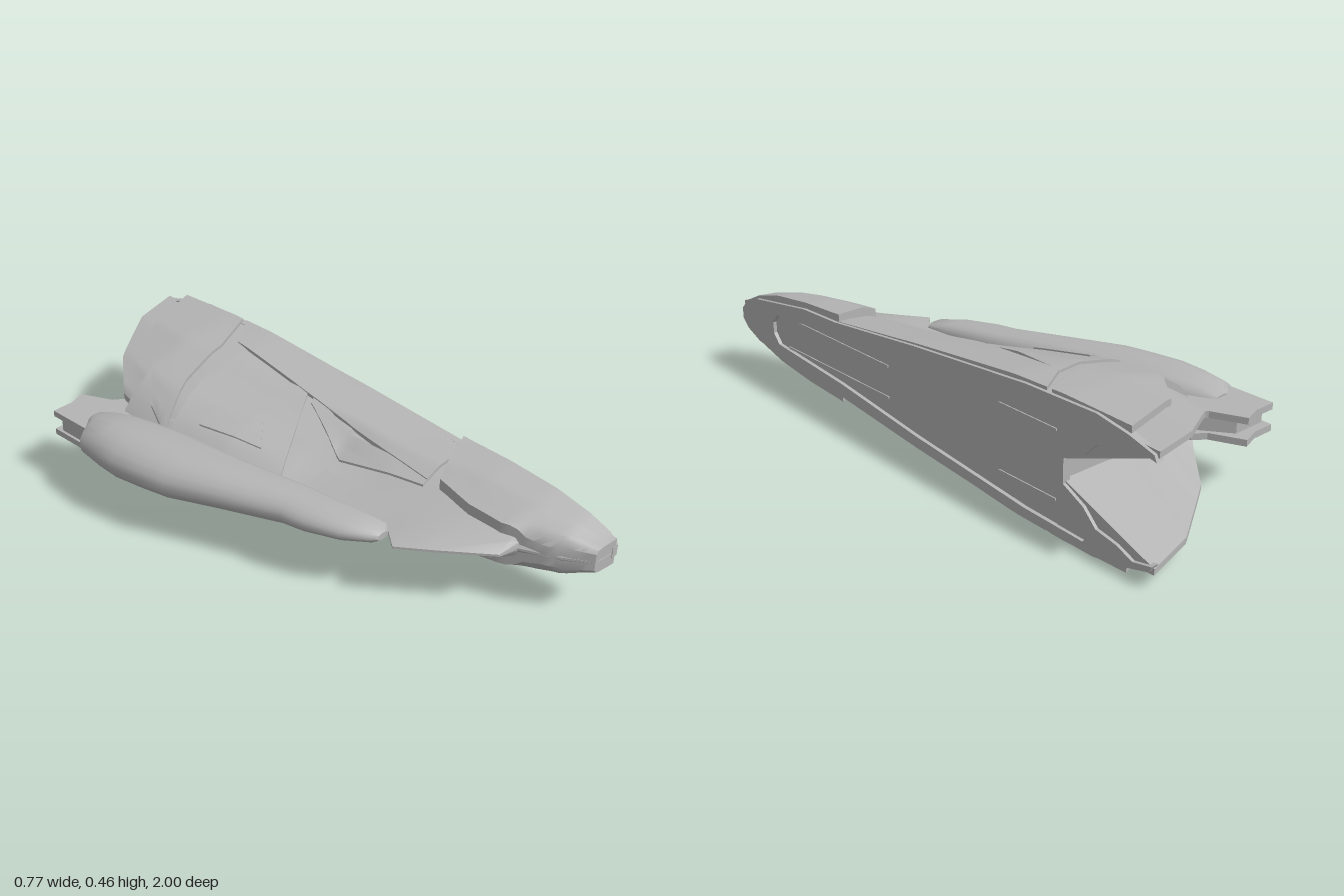
import * as THREE from 'three';
import { toCreasedNormals, mergeVertices } from 'three/addons/utils/BufferGeometryUtils.js';

const MID = 0.23; // height of the horizontal mirror plane
const FLAT = 0.374; // x where the armour plates stop, just short of the sliced side
const hull = new THREE.MeshStandardMaterial({ color: 0xb4b4b4, side: THREE.DoubleSide });
hull.name = 'hullGrey';

// Hull cross-sections: z, ridge height, three x,height pairs outwards, edge x
const STATIONS = [
  [-1, 0.22, 0.2, 0.208, 0.08, 0.18, -0.04, 0.14, -0.1],
  [-0.65, 0.229, 0.13, 0.216, -0.04, 0.165, -0.11, 0.12, -0.18],
  [-0.45, 0.224, 0.15, 0.208, -0.06, 0.148, -0.14, 0.1, -0.2],
  [-0.2, 0.2, 0.2, 0.185, 0.02, 0.125, -0.08, 0.085, -0.15],
  [0.02, 0.178, 0.22, 0.158, 0.1, 0.1, -0.01, 0.06, -0.09],
  [0.1, 0.168, 0.22, 0.148, 0.14, 0.09, 0.06, 0.05, -0.07],
  [0.3, 0.145, 0.23, 0.125, 0.14, 0.085, 0.06, 0.045, -0.03],
  [0.43, 0.13, 0.24, 0.115, 0.16, 0.08, 0.07, 0.042, -0.02],
  [0.5, 0.126, 0.25, 0.112, 0.16, 0.075, 0.06, 0.04, -0.08],
  [0.6, 0.12, 0.26, 0.108, 0.18, 0.07, 0.11, 0.045, -0.01],
  [0.76, 0.1, 0.28, 0.09, 0.2, 0.06, 0.16, 0.04, 0.11],
  [0.78, 0.097, 0.28, 0.087, 0.21, 0.055, 0.19, 0.035, 0.175],
  [0.9, 0.065, 0.31, 0.06, 0.25, 0.045, 0.235, 0.03, 0.225],
  [0.99, 0.02, 0.34, 0.02, 0.3, 0.018, 0.285, 0.012, 0.28],
].map(([z, ridge, ...rest]) => [z, FLAT, ridge, ...rest, rest[5] * 0.3]);

// Height of the skin above the mirror plane at (x, z)
function skin(x, z) {
  let i = 0;
  while (i < STATIONS.length - 2 && STATIONS[i + 1][0] < z) i++;
  const a = STATIONS[i], b = STATIONS[i + 1];
  const t = THREE.MathUtils.clamp((z - a[0]) / (b[0] - a[0]), 0, 1);
  const s = a.map((v, k) => v + (b[k] - v) * t);
  for (let k = 1; k < 9; k += 2) {
    if (x >= s[k + 2]) return s[k + 1] + (s[k + 3] - s[k + 1]) * THREE.MathUtils.clamp((s[k] - x) / (s[k] - s[k + 2]), 0, 1);
  }
  return s[10];
}

// Closed loft through rings of equal length, with both ends capped
function loft(rings, crease) {
  const n = rings[0].length, index = [];
  for (let r = 0; r < rings.length - 1; r++) {
    for (let k = 0; k < n; k++) {
      const a = r * n + k, b = r * n + (k + 1) % n;
      index.push(a, b, a + n, b, b + n, a + n);
    }
  }
  const last = (rings.length - 1) * n;
  for (let k = 1; k < n - 1; k++) index.push(0, k + 1, k, last, last + k, last + k + 1);
  const g = new THREE.BufferGeometry();
  g.setAttribute('position', new THREE.Float32BufferAttribute(rings.flat(2), 3));
  g.setIndex(index);
  return toCreasedNormals(mergeVertices(g), crease);
}

// Point at fraction t along a polyline of [x, z] pairs
function along(line, t) {
  const f = t * (line.length - 1), i = Math.min(Math.floor(f), line.length - 2), u = f - i;
  return [0, 1].map(k => line[i][k] + (line[i + 1][k] - line[i][k]) * u);
}

// Armour plate draped over the skin between lines a and b, with its thickness at each;
// side is 1 (top) or -1 (bottom)
function plate(a, b, offset, thickA, thickB, side) {
  const N = 24, M = 12, rings = [];
  for (let i = 0; i <= N; i++) {
    const p = along(a, i / N), q = along(b, i / N), top = [], under = [];
    for (let j = 0; j <= M; j++) {
      const x = p[0] + (q[0] - p[0]) * j / M, z = p[1] + (q[1] - p[1]) * j / M;
      const h = skin(x, z) + offset;
      const thick = thickA + (thickB - thickA) * j / M;
      top.push([x, MID + side * h, z]);
      under.unshift([x, MID + side * Math.max(h - thick, 0.002), z]);
    }
    const ring = [...top, ...under];
    rings.push(side > 0 ? ring : ring.reverse());
  }
  return loft(rings, 0.5);
}

function outline(points) {
  return points.map(p => new THREE.Vector2(p[0], p[1]));
}
function mirrored(points) {
  return [...points, ...points.map(p => [p[0], 2 * MID - p[1]]).reverse()];
}

export function createModel() {
  const group = new THREE.Group();
  const add = (name, geometry) => {
    const m = new THREE.Mesh(geometry, hull);
    m.name = name;
    group.add(m);
    return m;
  };

  // Main hull under the plates, closed by a rear wall
  add('mainHull', loft(STATIONS.slice(1).map(s => {
    const top = [];
    for (let k = 1; k < 11; k += 2) top.push([Math.min(s[k], 0.365), Math.max(s[k + 1] - 0.012, 0.004), s[0]]);
    return [...top.map(p => [p[0], MID + p[1], p[2]]), ...top.reverse().map(p => [p[0], MID - p[1], p[2]])];
  }), 0.5));

  // Armour plates, top and bottom; the shelf thickens inwards to make the tail's fork
  const plates = [
    ['rearPlate', [[FLAT, -0.6], [0.2, -0.53], [0, -0.5], [-0.18, -0.42]],
      [[FLAT, -0.9], [0.14, -0.83], [0.02, -0.7], [-0.13, -0.54]], 0, 0.022, 0.022],
    ['rearShelf', [[FLAT, -0.63], [0.2, -0.6], [0, -0.55], [-0.17, -0.45]],
      [[FLAT, -1], [0.2, -0.96], [0, -0.84], [-0.11, -0.71]], -0.035, 0.17, 0.02],
    ['shoulderPlate', [[0.25, -0.5], [0.2, -0.27], [0.22, -0.13]],
      [[-0.17, -0.41], [-0.12, -0.2], [-0.08, 0.02]], -0.003, 0.025, 0.025],
    ['shoulderPanel', [[0, -0.38], [0.04, -0.17]], [[-0.1, -0.33], [-0.04, -0.1]], 0.002, 0.015, 0.015],
    ['ridgePlate', [[FLAT, -0.58], [FLAT, -0.1], [FLAT, 0.43]],
      [[0.25, -0.5], [0.21, -0.13], [0.18, 0.42]], 0, 0.02, 0.02],
    ['flankPlate', [[0.22, -0.1], [0.18, 0.1], [0.2, 0.42]],
      [[0.19, -0.09], [0.1, 0.12], [0.16, 0.42]], -0.004, 0.02, 0.02],
    ['nosePlate', [[FLAT, 0.41], [FLAT, 0.6], [FLAT, 0.75], [FLAT, 0.9], [FLAT, 1]],
      [[0.18, 0.47], [0.16, 0.6], [0.165, 0.72], [0.21, 0.87], [0.28, 0.99]], 0.026, 0.05, 0.05],
  ];
  for (const [name, a, b, offset, thickA, thickB] of plates) {
    add(name + 'Top', plate(a, b, offset, thickA, thickB, 1));
    add(name + 'Bottom', plate(a, b, offset, thickA, thickB, -1));
  }

  // Smooth side pod: z, outer x, inner x, half height; blunt towards the hull
  const pod = [
    [-0.7, -0.3, -0.21, 0.055], [-0.65, -0.365, -0.18, 0.072], [-0.56, -0.378, -0.15, 0.082],
    [-0.47, -0.385, -0.13, 0.085], [-0.36, -0.37, -0.11, 0.084], [-0.25, -0.35, -0.1, 0.08],
    [-0.08, -0.28, -0.08, 0.07], [0.14, -0.2, -0.04, 0.054], [0.22, -0.19, -0.03, 0.048],
    [0.34, -0.15, -0.01, 0.038], [0.42, -0.1, -0.005, 0.025], [0.44, -0.08, -0.03, 0.012],
  ];
  add('sidePod', loft(pod.map(([z, xo, xi, h]) => {
    const ring = [];
    for (let k = 0; k < 20; k++) {
      const t = k / 20 * Math.PI * 2, c = Math.cos(t);
      const x = c > 0 ? Math.pow(c, 0.5) : c;
      ring.push([(xo + xi) / 2 + x * (xi - xo) / 2, MID + Math.sin(t) * h, z]);
    }
    return ring;
  }), 0.7));

  // Thruster housing behind the pod: two slabs around a recessed core
  const slab = (name, pts, y, h) => {
    const g = new THREE.ExtrudeGeometry(new THREE.Shape(outline(pts.map(p => [p[0], -p[1]]))), { depth: h, bevelEnabled: false });
    g.rotateX(-Math.PI / 2).translate(0, y, 0);
    add(name, g);
  };
  const housing = [[-0.33, -0.83], [-0.25, -0.83], [-0.19, -0.85], [-0.14, -0.74], [-0.1, -0.71], [-0.1, -0.5], [-0.33, -0.5]];
  const core = [[-0.32, -0.8], [-0.2, -0.8], [-0.12, -0.69], [-0.12, -0.5], [-0.32, -0.5]];
  slab('thrusterTop', housing, 0.255, 0.022);
  slab('thrusterBottom', housing, 0.183, 0.022);
  slab('thrusterCore', core, 0.2, 0.06);

  // Sliced side: recessed backing and raised rim with a forked tail (first number is -z)
  const rim = mirrored([[-1, 0.25], [-0.97, 0.28], [-0.9, 0.31], [-0.6, 0.355], [-0.42, 0.36], [0, 0.404], [0.5, 0.445],
    [0.78, 0.45], [0.9, 0.43], [0.99, 0.405], [1, 0.385], [0.93, 0.4], [0.87, 0.375], [0.79, 0.36], [0.74, 0.31], [0.66, 0.27]]);
  const recess = mirrored([[-0.8, 0.25], [-0.77, 0.285], [-0.4, 0.315], [0, 0.365], [0.5, 0.412], [0.74, 0.42],
    [0.76, 0.4], [0.71, 0.34], [0.64, 0.28]]);
  const sideSlab = (name, shape, x, depth) => {
    const g = new THREE.ExtrudeGeometry(shape, { depth, bevelEnabled: false });
    g.rotateY(Math.PI / 2).translate(x, 0, 0);
    add(name, g);
  };
  sideSlab('innerWall', new THREE.Shape(outline(rim)), 0.358, 0.014);
  const frame = new THREE.Shape(outline(rim));
  frame.holes.push(new THREE.Path(outline(recess)));
  sideSlab('sideRim', frame, 0.37, 0.015);

  // Fine ribs inside the recess
  for (const s of [1, -1]) {
    for (const [z0, z1, dy] of [[0.72, 0.15, 0.055], [-0.38, -0.62, 0.11]]) {
      const rib = add('innerRib', new THREE.BoxGeometry(0.008, 0.008, z0 - z1));
      rib.position.set(0.372, MID + s * dy, (z0 + z1) / 2);
    }
  }
  return group;
}
